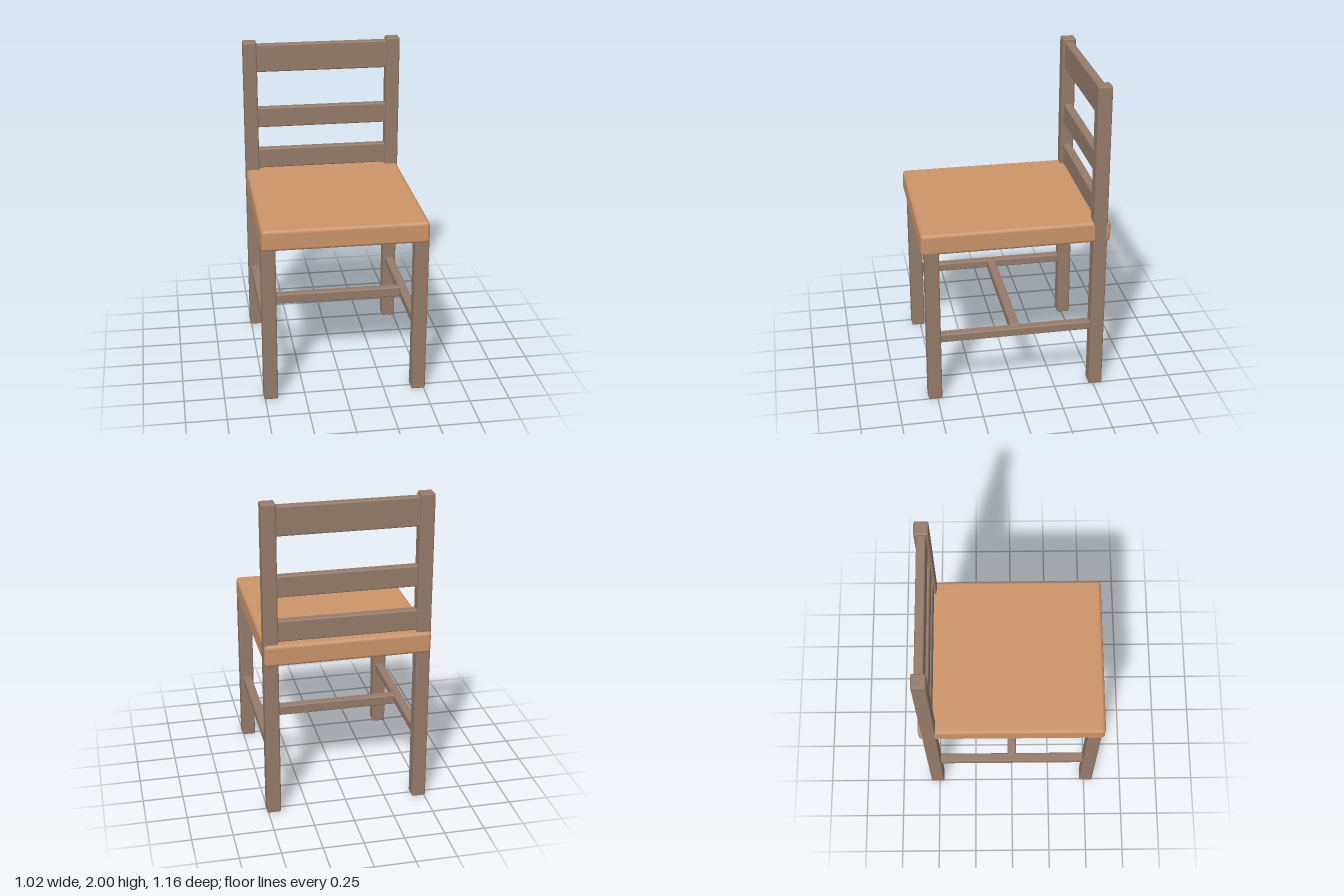
import * as THREE from 'three';
import { RoundedBoxGeometry } from 'three/addons/geometries/RoundedBoxGeometry.js';

export function createModel() {
  const chair = new THREE.Group();
  chair.name = 'chair';
  const frameWood = new THREE.MeshStandardMaterial({ color: 0x957b6a });
  const seatWood = new THREE.MeshStandardMaterial({ color: 0xcb946a });

  // A softened board given by its [min, max] range on each axis
  function board(name, x, y, z, radius, material = frameWood) {
    const size = [x, y, z].map(([a, b]) => b - a);
    const mesh = new THREE.Mesh(new RoundedBoxGeometry(...size, 1, radius), material);
    mesh.position.set((x[0] + x[1]) / 2, (y[0] + y[1]) / 2, (z[0] + z[1]) / 2);
    mesh.name = name;
    chair.add(mesh);
  }

  // Seat
  board('seat', [-0.507, 0.507], [1.005, 1.14], [-0.578, 0.578], 0.022, seatWood);

  // Legs and side stretchers, mirrored left and right
  for (const [side, s] of [['left', 1], ['right', -1]]) {
    const span = (a, b) => (s > 0 ? [a, b] : [-b, -a]);
    board(side + 'FrontLeg', span(0.42, 0.508), [0, 1.03], [0.47, 0.557], 0.01);
    board(side + 'BackPost', span(0.42, 0.508), [0, 2], [-0.557, -0.47], 0.01);
    board(side + 'SideStretcher', span(0.436, 0.492), [0.395, 0.45], [-0.475, 0.475], 0.008);
  }

  // Middle stretcher joining the two side stretchers
  board('middleStretcher', [-0.45, 0.45], [0.39, 0.456], [-0.028, 0.028], 0.008);

  // Backrest slats
  const slats = [['lowerSlat', 1.147, 1.28], ['middleSlat', 1.427, 1.56], ['topSlat', 1.8, 1.98]];
  for (const [name, bottom, top] of slats) {
    board(name, [-0.435, 0.435], [bottom, top], [-0.541, -0.486], 0.01);
  }

  return chair;
}
